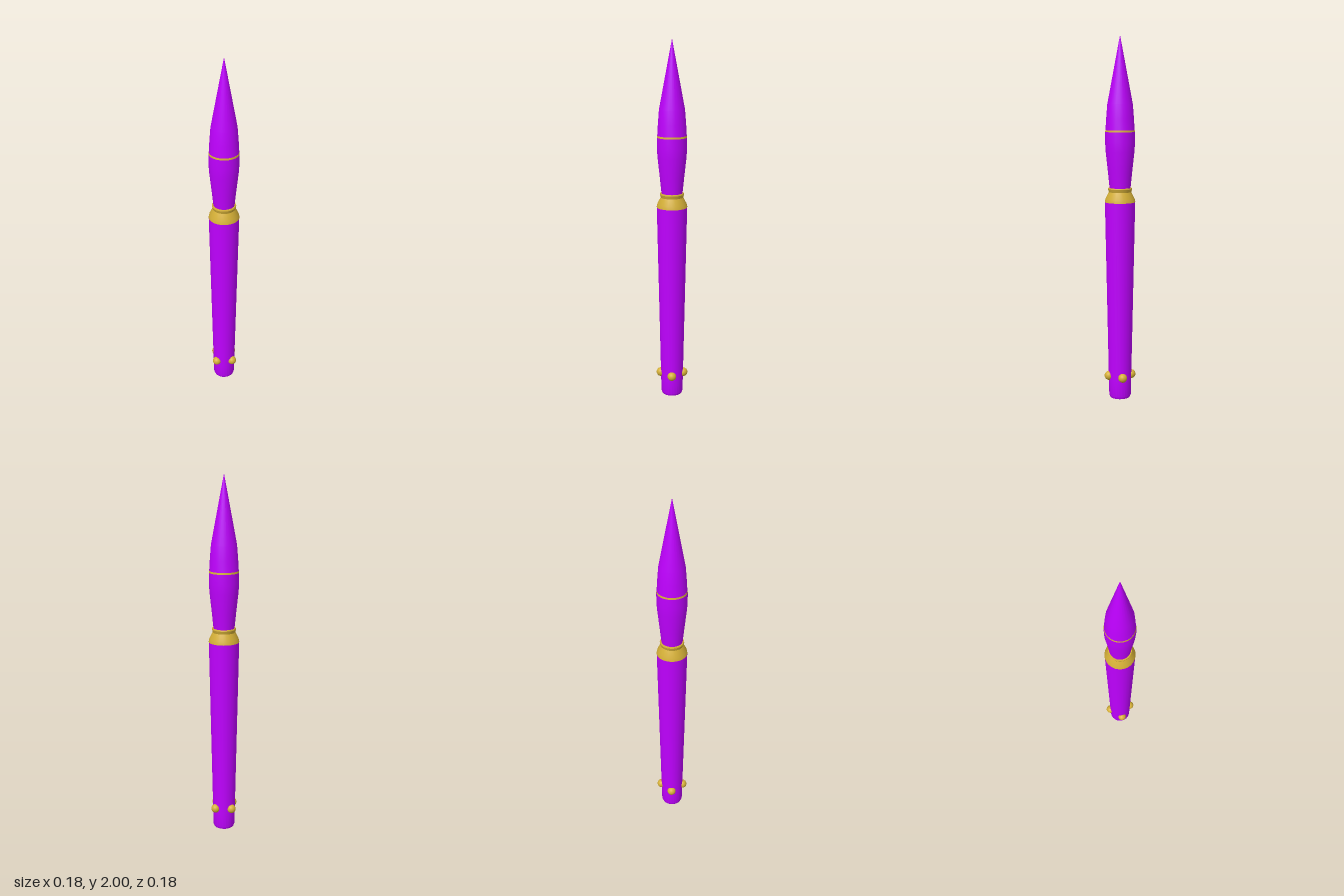
import * as THREE from 'three';
import { toCreasedNormals } from 'three/addons/utils/BufferGeometryUtils.js';

const purple = new THREE.MeshStandardMaterial({ color: 0xbf00ff });
const gold = new THREE.MeshStandardMaterial({ color: 0xd4af37 });

export function createModel() {
  const model = new THREE.Group();

  // Turned part from [radius, height] pairs, listed bottom to top
  const turned = (name, material, profile) => {
    const points = profile.map(([r, y]) => new THREE.Vector2(r, y));
    const geometry = toCreasedNormals(new THREE.LatheGeometry(points, 24), 0.4);
    const mesh = new THREE.Mesh(geometry, material);
    mesh.name = name;
    model.add(mesh);
  };

  // Tapered handle with a softened foot
  turned('handle', purple, [[0, 0], [0.056, 0], [0.061, 0.012], [0.063, 0.1], [0.083, 1.108], [0, 1.108]]);

  // Flared collar with a small ring above it
  turned('collar', gold, [[0, 1.106], [0.084, 1.106], [0.08, 1.125], [0.061, 1.162], [0, 1.162]]);
  turned('collarRing', gold, [[0, 1.16], [0.061, 1.16], [0.066, 1.178], [0.064, 1.184], [0, 1.184]]);

  // Swelling neck, thin band and pointed tip
  turned('neck', purple, [[0, 1.18], [0.057, 1.18], [0.066, 1.27], [0.078, 1.38], [0.081, 1.43], [0.081, 1.487], [0, 1.487]]);
  turned('band', gold, [[0, 1.485], [0.081, 1.485], [0.079, 1.497], [0, 1.497]]);
  turned('tip', purple, [[0, 1.495], [0.079, 1.495], [0.075, 1.56], [0.069, 1.635], [0, 2]]);

  // Four beads around the foot
  const beadGeometry = new THREE.SphereGeometry(0.025, 20, 14);
  for (let i = 0; i < 4; i++) {
    const angle = (i * Math.PI) / 2;
    const bead = new THREE.Mesh(beadGeometry, gold);
    bead.name = `bead${i + 1}`;
    bead.position.set(0.064 * Math.sin(angle), 0.125, 0.064 * Math.cos(angle));
    model.add(bead);
  }
  return model;
}
